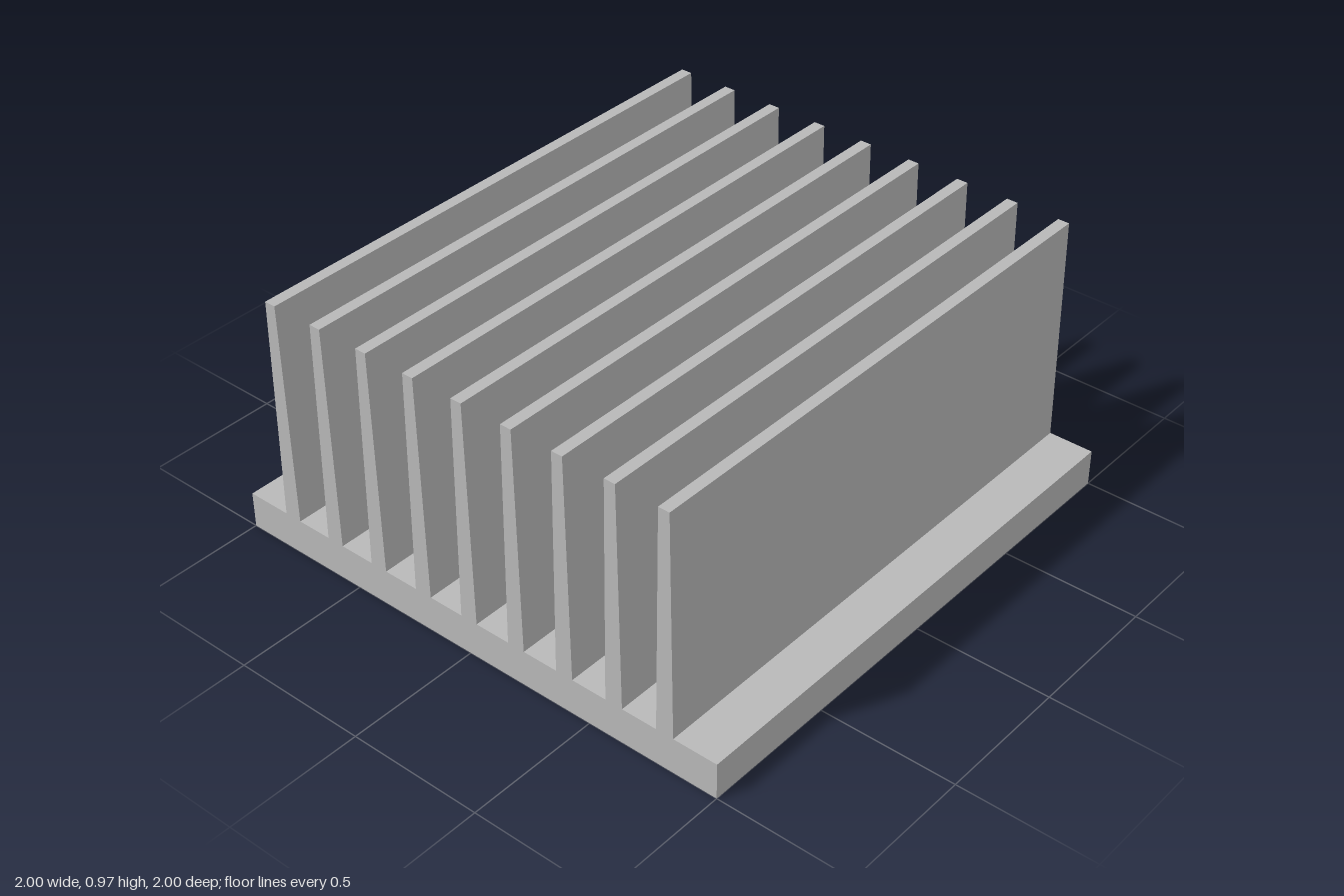
import * as THREE from 'three';

const LENGTH = 2;
const BASE_HEIGHT = 0.135;
const TOTAL_HEIGHT = 0.97;
const FIN_COUNT = 9;
const FIN_PITCH = 0.2;
const FIN_ROOT_HALF = 0.033;
const FIN_TIP_HALF = 0.021;

// Tapered fin section, extruded along x
function createFinGeometry() {
  const section = new THREE.Shape([
    new THREE.Vector2(-FIN_ROOT_HALF, BASE_HEIGHT),
    new THREE.Vector2(FIN_ROOT_HALF, BASE_HEIGHT),
    new THREE.Vector2(FIN_TIP_HALF, TOTAL_HEIGHT),
    new THREE.Vector2(-FIN_TIP_HALF, TOTAL_HEIGHT),
  ]);
  const geometry = new THREE.ExtrudeGeometry(section, { depth: LENGTH, bevelEnabled: false });
  geometry.translate(0, 0, -LENGTH / 2);
  geometry.rotateY(Math.PI / 2);
  return geometry;
}

export function createModel() {
  const model = new THREE.Group();
  model.name = 'heatSink';
  const aluminium = new THREE.MeshStandardMaterial({ color: 0xb8b8b8 });
  aluminium.name = 'aluminium';

  // Base plate
  const base = new THREE.Mesh(new THREE.BoxGeometry(LENGTH, BASE_HEIGHT, 2), aluminium);
  base.name = 'basePlate';
  base.position.y = BASE_HEIGHT / 2;
  model.add(base);

  // Row of cooling fins
  const fins = new THREE.Group();
  fins.name = 'fins';
  const finGeometry = createFinGeometry();
  for (let i = 0; i < FIN_COUNT; i++) {
    const fin = new THREE.Mesh(finGeometry, aluminium);
    fin.name = `fin${i + 1}`;
    fin.position.z = (i - (FIN_COUNT - 1) / 2) * FIN_PITCH;
    fins.add(fin);
  }
  model.add(fins);

  return model;
}
